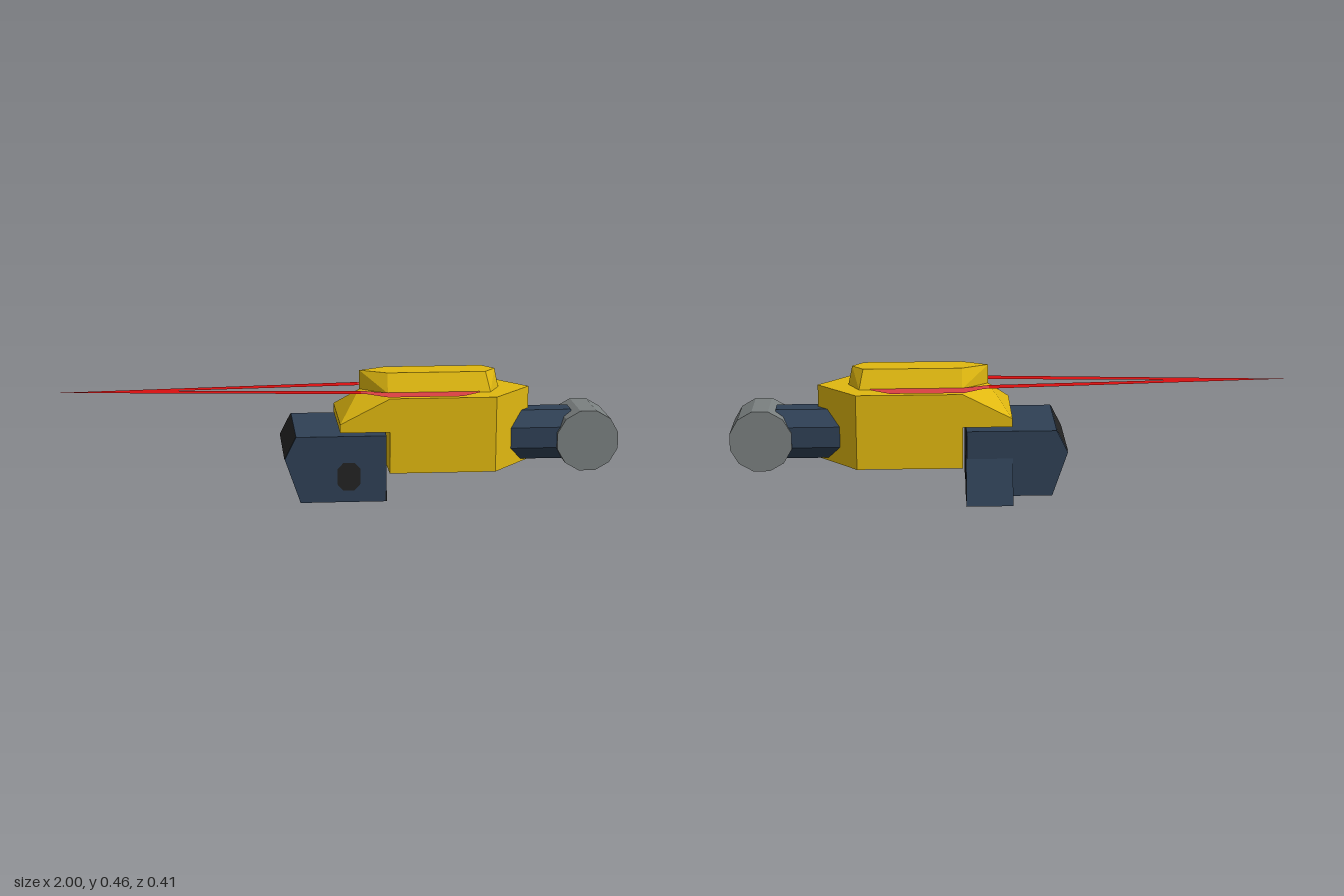
import * as THREE from 'three';
import { ConvexGeometry } from 'three/addons/geometries/ConvexGeometry.js';

const MID = 0.03; // z of the hull's centre line

const mat = (name, color, extra = {}) => {
  const m = new THREE.MeshStandardMaterial({ color, flatShading: true, ...extra });
  m.name = name;
  return m;
};

const shapeOf = pts => new THREE.Shape(pts.map(p => new THREE.Vector2(p[0], p[1])));
const extrude = (pts, depth) =>
  new THREE.ExtrudeGeometry(shapeOf(pts), { depth, bevelEnabled: false });
const convex = pts => new ConvexGeometry(pts.map(p => new THREE.Vector3(...p)));

export function createModel() {
  const group = new THREE.Group();
  const yellow = mat('yellow', 0xe0b810);
  const blue = mat('dark blue', 0x2f4055);
  const black = mat('black', 0x232323, { side: THREE.DoubleSide });
  const grey = mat('grey', 0x7a8080);
  const red = mat('red', 0xd80f10, { side: THREE.DoubleSide });
  const paleRed = mat('pale red', 0xda4042, { side: THREE.DoubleSide });

  const add = (name, geometry, material, x = 0, y = 0, z = 0) => {
    const mesh = new THREE.Mesh(geometry, material);
    mesh.name = name;
    mesh.position.set(x, y, z);
    group.add(mesh);
    return mesh;
  };

  // Main hull: upright prism with a pointed end
  const W = 0.165;
  const hull = extrude([[0.175, -W], [0.55, -W], [0.69, 0], [0.55, W], [0.175, W]], 0.27);
  hull.rotateX(-Math.PI / 2);
  add('hull', hull, yellow, 0, 0.12, MID);

  // Sloped overhang, coming to a peak on the centre line
  const nose = [[0.08, 0.39, 0]];
  for (const z of [-W, W])
    nose.push([0, 0.27, z], [0.175, 0.27, z], [0, 0.3, z], [0.175, 0.39, z]);
  add('overhang', convex(nose), yellow, 0, 0, MID);

  // Raised ridge on the roof
  const ridge = [[0.08, 0.39, 0], [0.58, 0.39, 0], [0.08, 0.458, 0], [0.565, 0.458, 0]];
  for (const s of [-1, 1])
    ridge.push([0.175, 0.39, s * 0.083], [0.54, 0.39, s * 0.083],
      [0.175, 0.458, s * 0.053], [0.525, 0.458, s * 0.053]);
  add('roofRidge', convex(ridge), yellow, 0, 0, MID);

  // Flat red blades meeting in a long point, and their wider roof panels
  const flat = (name, pts, material) => {
    for (const s of [1, -1]) {
      const g = new THREE.ShapeGeometry(shapeOf(pts.map(([x, z]) => [x, s * z])));
      g.rotateX(-Math.PI / 2);
      add(name, g, material, 0, 0.393, MID);
    }
  };
  flat('blade', [[-1, 0], [-0.6, 0], [0.08, 0.045], [0.08, 0.096]], red);
  flat('roofPanel', [[0.08, 0.045], [0.175, 0.083], [0.5, 0.083], [0.5, 0.1],
    [0.43, 0.155], [0.17, 0.155], [0.1, 0.1], [0.08, 0.096]], paleRed);

  // Faceted block under the overhang
  const block = [[-0.195, 0.18], [-0.14, 0.022], [0.162, 0.022], [0.162, 0.26], [-0.155, 0.26]];
  add('block', extrude(block, 0.36), blue, 0, 0, -0.155);

  // Black face on the block's upper slope
  const slope = new THREE.PlaneGeometry(0.0894, 0.36);
  slope.rotateX(-Math.PI / 2);
  const slopeFace = add('blockSlopeFace', slope, black, -0.1765, 0.221, 0.025);
  slopeFace.rotation.z = Math.atan2(0.08, 0.04);

  // Black end faces of the block
  add('blockEndLower', new THREE.BoxGeometry(0.004, 0.038, 0.36), black, 0.162, 0.041, 0.025);
  add('blockEndUpper', new THREE.BoxGeometry(0.004, 0.2, 0.3), black, 0.162, 0.16, 0.015);

  // Oval port on the front of the block
  const port = new THREE.ShapeGeometry(shapeOf([[-0.02, -0.05], [0.02, -0.05], [0.04, -0.028],
    [0.04, 0.028], [0.02, 0.05], [-0.02, 0.05], [-0.04, 0.028], [-0.04, -0.028]]));
  add('port', port, black, 0.03, 0.115, 0.207);

  // Sloping foot at the back: black ends, blue outside
  const foot = extrude([[0.035, 0], [0.205, 0], [0.155, 0.16], [0.035, 0.16]], 0.165);
  foot.rotateY(Math.PI / 2);
  add('foot', foot, [black, blue]);
  add('footFrontFace', new THREE.PlaneGeometry(0.165, 0.024), black, 0.0825, 0.012, -0.0345);

  // Eight-sided neck and twelve-sided drum at the end
  const neck = new THREE.CylinderGeometry(0.0975, 0.0975, 0.27, 8);
  neck.rotateY(Math.PI / 8);
  neck.rotateZ(Math.PI / 2);
  add('neck', neck, blue, 0.705, 0.22, MID - 0.003);

  const drum = new THREE.CylinderGeometry(0.113, 0.113, 0.2, 12);
  drum.rotateY(Math.PI / 12);
  drum.rotateX(Math.PI / 2);
  add('drum', drum, grey, 0.891, 0.209, MID);

  return group;
}
